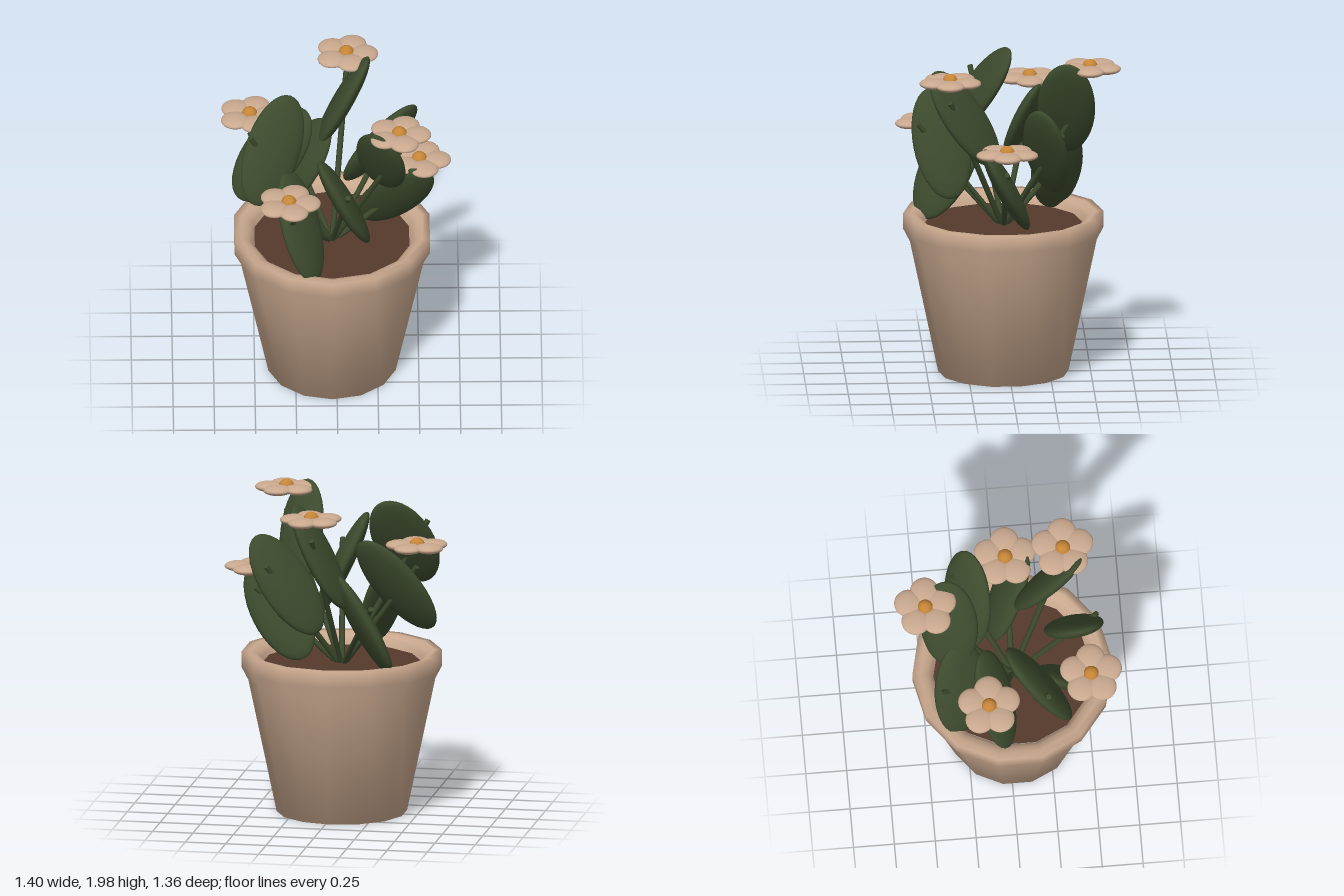
import * as THREE from 'three';

const mat = (name, color) => {
  const m = new THREE.MeshStandardMaterial({ color });
  m.name = name;
  return m;
};

export function createModel() {
  const clay = mat('pale clay', 0xc9a88e);
  const green = mat('leaf green', 0x3c4a2d);
  const earth = mat('soil brown', 0x553a2c);
  const amber = mat('amber', 0xc58536);

  const plant = new THREE.Group();
  plant.name = 'pottedPlant';
  plant.position.set(-0.028, 0, 0.031);

  const add = (parent, name, geometry, material) => {
    const mesh = new THREE.Mesh(geometry, material);
    mesh.name = name;
    parent.add(mesh);
    return mesh;
  };

  // Pot: closed base, tapered wall, flared rim, inner lip down to the soil
  const profile = [
    [0, 0], [0.398, 0], [0.57, 0.82], [0.611, 0.9], [0.611, 1.0],
    [0.565, 1.0], [0.525, 0.985], [0.495, 0.955], [0.475, 0.9],
  ].map(([r, y]) => new THREE.Vector2(r, y));
  add(plant, 'pot', new THREE.LatheGeometry(profile, 14), clay);

  // Soil disc
  const soil = add(plant, 'soil', new THREE.CircleGeometry(0.483, 14, Math.PI / 2), earth);
  soil.rotation.x = -Math.PI / 2;
  soil.position.y = 0.93;

  // Shared shapes
  const ball = new THREE.SphereGeometry(1, 28, 18);
  const up = new THREE.Vector3(0, 1, 0);
  const reach = 0.532;
  const tipHeights = [1.37, 1.795, 1.583];
  const flowering = [0, 1, 3, 5, 7];

  // Flower: five flattened petals around a round centre
  const makeFlower = () => {
    const flower = new THREE.Group();
    flower.name = 'flower';
    for (let k = 0; k < 5; k++) {
      const a = (k * Math.PI * 2) / 5 + 0.03;
      const petal = add(flower, 'petal', ball, clay);
      petal.scale.set(0.088, 0.03, 0.088);
      petal.position.set(Math.cos(a) * 0.106, 0, Math.sin(a) * 0.106);
    }
    const centre = add(flower, 'flowerCentre', ball, amber);
    centre.scale.setScalar(0.048);
    centre.position.y = 0.004;
    return flower;
  };

  // Nine stems fanning from the middle, each with one leaf, some with a flower
  for (let i = 0; i < 9; i++) {
    const angle = (i * Math.PI * 2) / 9;
    const tipY = tipHeights[i % 3];

    const shoot = new THREE.Group();
    shoot.name = 'shoot';
    shoot.rotation.y = -angle;
    plant.add(shoot);

    const base = new THREE.Vector3(0, 0.9, 0);
    const along = new THREE.Vector3(reach, tipY, 0).sub(base);
    const stem = add(shoot, 'stem', new THREE.CylinderGeometry(0.018, 0.018, along.length(), 6), green);
    stem.position.copy(base).addScaledVector(along, 0.5);
    stem.quaternion.setFromUnitVectors(up, along.clone().normalize());

    const leaf = add(shoot, 'leaf', ball, green);
    leaf.scale.set(0.177, 0.352, 0.06);
    leaf.position.set(0.387, tipY - 0.128, 0);
    leaf.rotation.set(0.46, 0, -Math.asin(0.51 * Math.cos(angle)));

    if (flowering.includes(i)) {
      const flower = makeFlower();
      flower.position.set(Math.cos(angle) * reach, tipY + 0.132, Math.sin(angle) * reach);
      plant.add(flower);
    }
  }

  const model = new THREE.Group();
  model.name = 'model';
  model.add(plant);
  return model;
}
